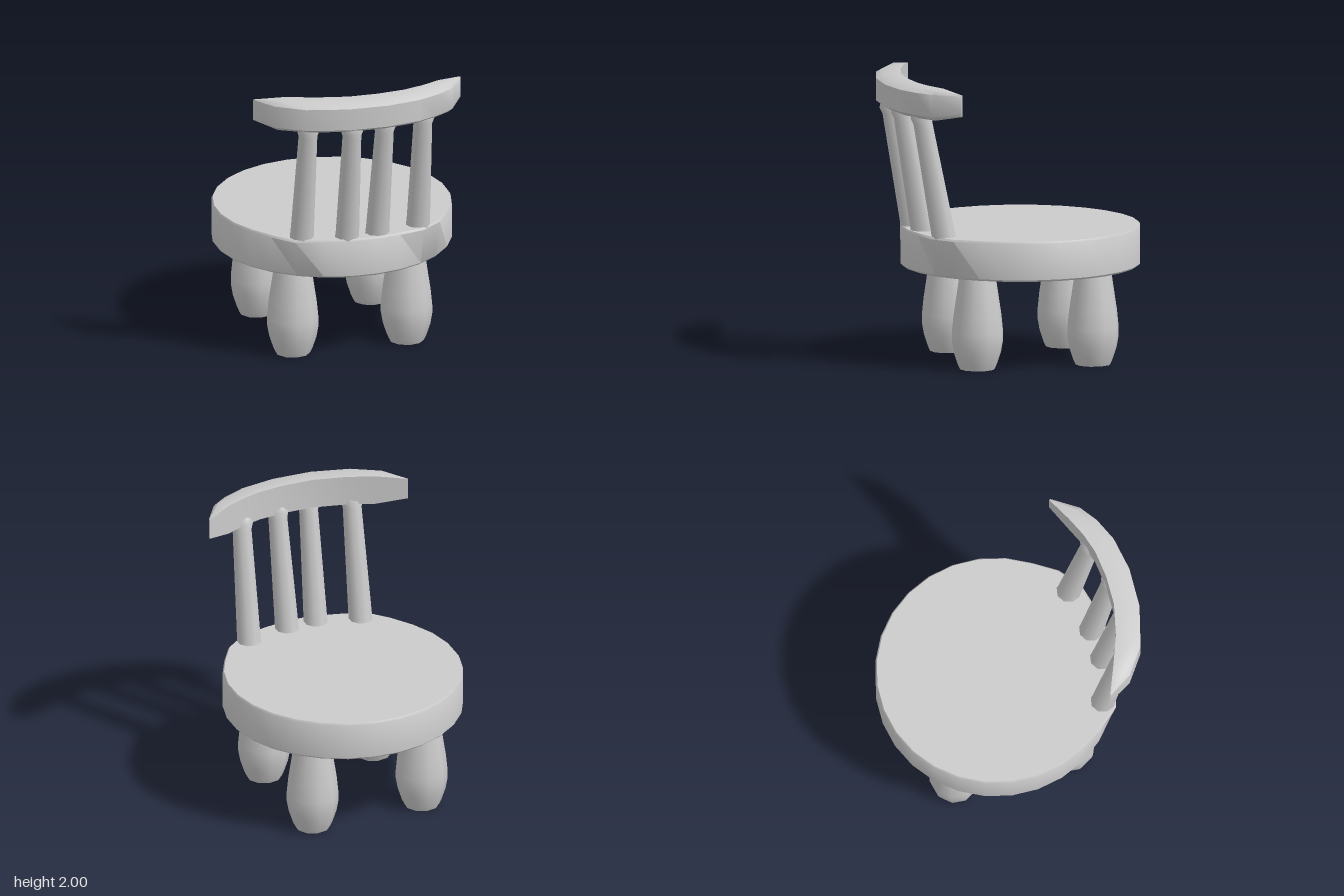
import * as THREE from 'three';
import { toCreasedNormals } from 'three/addons/utils/BufferGeometryUtils.js';

const grey = new THREE.MeshStandardMaterial({ color: 0xcccccc });
const SEAT = new THREE.Vector3(0.065, 0, -0.09);

function lathe(points, sides, crease) {
  const g = new THREE.LatheGeometry(points.map(([r, y]) => new THREE.Vector2(r, y)), sides);
  return crease ? toCreasedNormals(g, crease) : g;
}

function addMesh(parent, name, geometry) {
  const mesh = new THREE.Mesh(geometry, grey);
  mesh.name = name;
  parent.add(mesh);
  return mesh;
}

// Round slab whose upper rim swells a little beside the two outer spindles
function seatGeometry() {
  const g = new THREE.LatheGeometry([
    [0, 0.66], [0.822, 0.66], [0.835, 0.673], [0.835, 0.925], [0.825, 0.94], [0, 0.94],
  ].map(([r, y]) => new THREE.Vector2(r, y)), 28);
  const p = g.attributes.position;
  for (let i = 0; i < p.count; i++) {
    const x = p.getX(i), z = p.getZ(i);
    if (p.getY(i) < 0.8 || Math.hypot(x, z) < 0.5) continue;
    const a = Math.atan2(x, z);
    const swell = [0.1, -1.16].reduce((s, c) => s + 0.045 * Math.exp(-(((a - c) / 0.17) ** 2)), 0);
    const k = 1 + swell / 0.835;
    p.setX(i, x * k);
    p.setZ(i, z * k);
  }
  return toCreasedNormals(g, 0.7);
}

// Curved crest rail: bevelled cross-sections between an inner and an outer arc, pointed at the ends
function railGeometry() {
  const inner = [[-0.9, 0.05], [-0.76, 0.23], [-0.63, 0.39], [-0.46, 0.55], [-0.28, 0.66],
    [-0.1, 0.74], [0.05, 0.775], [0.2, 0.79], [0.4, 0.803]];
  const outer = [[-0.903, 0.06], [-0.895, 0.25], [-0.8, 0.46], [-0.59, 0.67], [-0.35, 0.82],
    [-0.12, 0.905], [0.06, 0.925], [0.21, 0.91], [0.4, 0.815]];
  const last = inner.length - 1, pos = [], idx = [];
  inner.forEach(([ix, iz], i) => {
    const [ox, oz] = outer[i];
    const end = i === 0 || i === last;
    const top = end ? 1.975 : 2, bottom = end ? 1.825 : 1.785;
    const section = [[0, bottom], [0.7, bottom], [1, bottom + 0.03],
      [1, top - (end ? 0.005 : 0.03)], [0.7, top], [0, top]];
    for (const [t, y] of section) pos.push(ix + (ox - ix) * t, y, iz + (oz - iz) * t);
  });
  const n = 6;
  for (let i = 0; i < last; i++) {
    for (let j = 0; j < n; j++) {
      const a = i * n + j, b = i * n + (j + 1) % n;
      idx.push(a, a + n, b, b, a + n, b + n);
    }
  }
  for (let j = 1; j < n - 1; j++) {
    idx.push(0, j, j + 1, last * n, last * n + j + 1, last * n + j);
  }
  const g = new THREE.BufferGeometry();
  g.setAttribute('position', new THREE.Float32BufferAttribute(pos, 3));
  g.setIndex(idx);
  return toCreasedNormals(g, 0.9);
}

export function createModel() {
  const model = new THREE.Group();
  model.name = 'chair';

  addMesh(model, 'seat', seatGeometry()).position.copy(SEAT);

  // Four bulging legs, a quarter turn apart
  const leg = lathe([[0, 0], [0.122, 0], [0.138, 0.035], [0.166, 0.12], [0.18, 0.2], [0.18, 0.26],
    [0.168, 0.38], [0.15, 0.5], [0.125, 0.67]], 10, 0.8);
  for (let i = 0; i < 4; i++) {
    const a = Math.atan2(0.15, 0.565) + i * Math.PI / 2;
    addMesh(model, 'leg', leg).position.set(
      SEAT.x + 0.585 * Math.sin(a), 0, SEAT.z + 0.585 * Math.cos(a));
  }

  // Leaning spindles: base x, z then top x, z
  const spindles = [[0.1, 0.685, 0.01, 0.815], [-0.21, 0.585, -0.28, 0.72],
    [-0.41, 0.485, -0.5, 0.615], [-0.63, 0.26, -0.71, 0.395]];
  const up = new THREE.Vector3(0, 1, 0);
  for (const [bx, bz, tx, tz] of spindles) {
    const base = new THREE.Vector3(bx, 0.93, bz);
    const dir = new THREE.Vector3(tx, 1.79, tz).sub(base);
    const h = dir.length();
    const spindle = addMesh(model, 'spindle', lathe(
      [[0.09, -0.03], [0.084, 0.03], [0.067, h - 0.05], [0.08, h - 0.005], [0.06, h + 0.04]], 9));
    spindle.position.copy(base);
    spindle.quaternion.setFromUnitVectors(up, dir.normalize());
  }

  addMesh(model, 'crestRail', railGeometry());
  return model;
}
